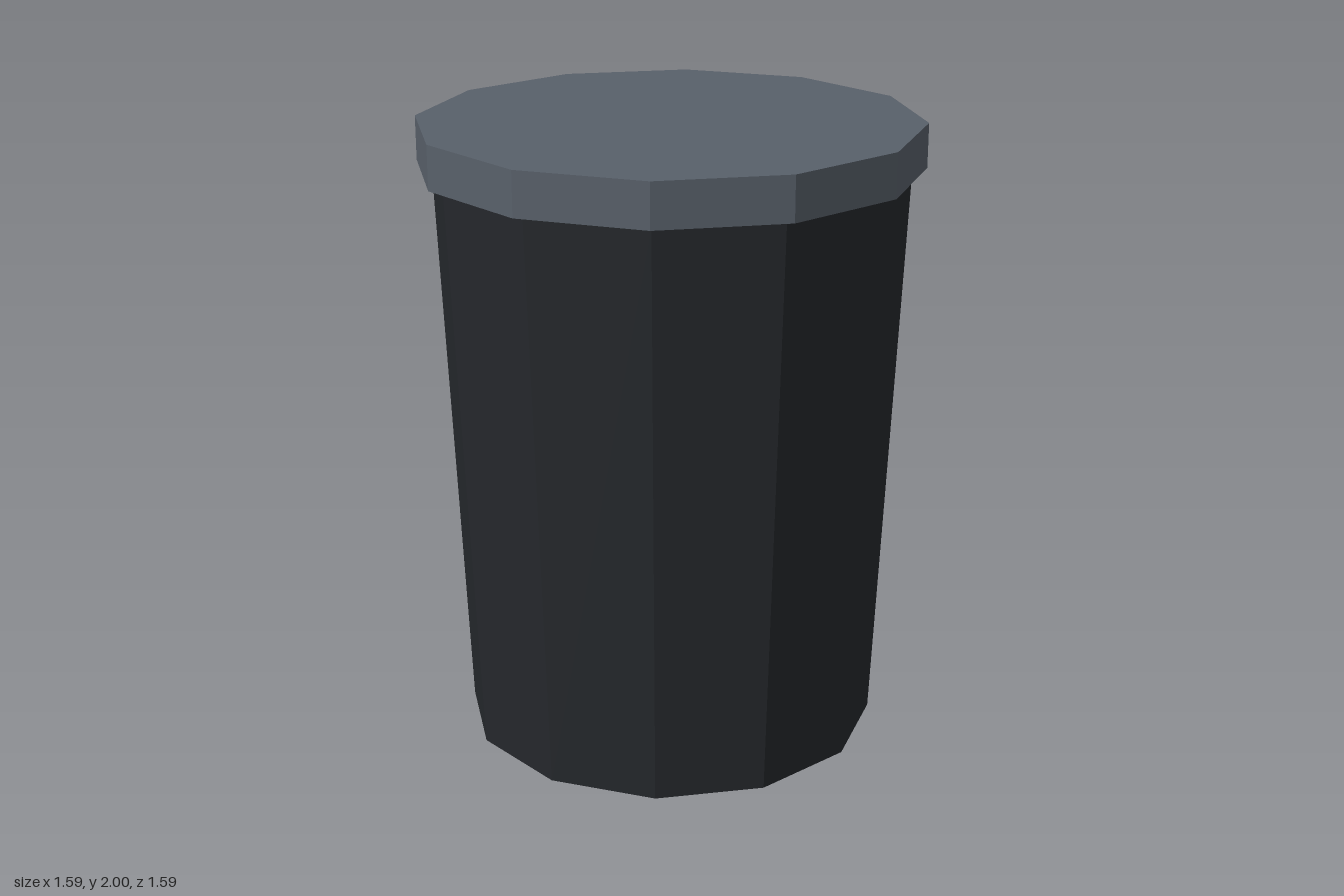
import * as THREE from 'three';

const SIDES = 12;

// Flat-shaded twelve-sided drum standing on a given height
function drum(name, topRadius, bottomRadius, bottomY, topY, color) {
  const height = topY - bottomY;
  const geometry = new THREE.CylinderGeometry(topRadius, bottomRadius, height, SIDES);
  geometry.translate(0, bottomY + height / 2, 0);
  const mesh = new THREE.Mesh(geometry, new THREE.MeshStandardMaterial({ color, flatShading: true }));
  mesh.name = name;
  return mesh;
}

export function createModel() {
  const group = new THREE.Group();
  group.name = 'lidded bin';
  // Tapered container
  group.add(drum('body', 0.75, 0.67, 0, 1.86, 0x25282c));
  // Overhanging flat lid
  group.add(drum('lid', 0.795, 0.795, 1.86, 2, 0x58606a));
  return group;
}
